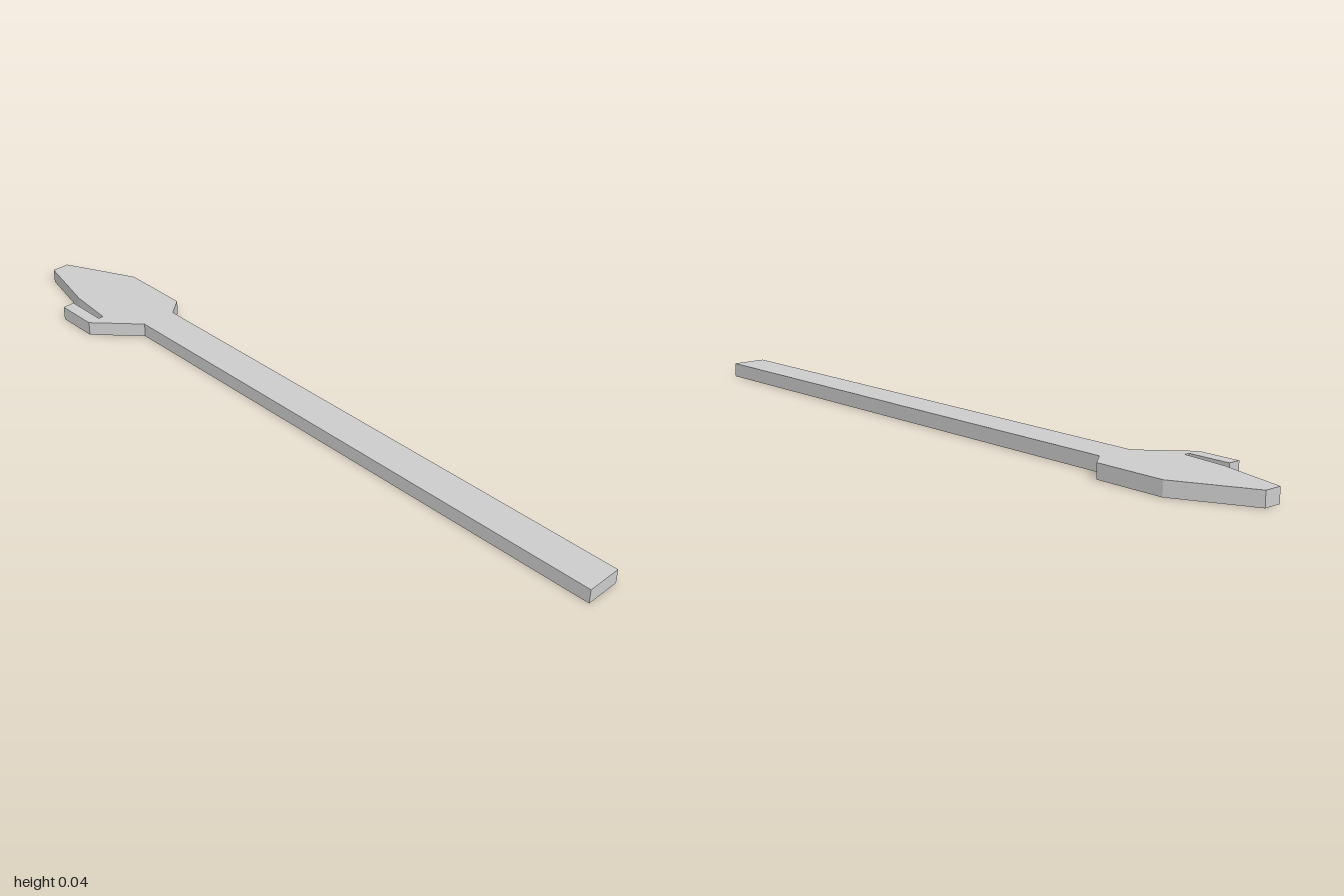
import * as THREE from 'three';

export function createModel() {
  const group = new THREE.Group();
  group.name = 'flatKey';

  const lightGrey = new THREE.MeshStandardMaterial({ color: 0xcccccc });
  lightGrey.name = 'lightGrey';

  // Outline as [x, z], counter-clockwise seen from above
  const outline = [
    // shaft end and right edge
    [-0.02, 1], [0.08, 1], [0.08, -0.56],
    // head shoulder and tip
    [0.13, -0.6], [0.13, -0.8], [0.03, -1], [-0.02, -1],
    // slot between head and side prong
    [-0.067, -0.81], [-0.08, -0.68], [-0.095, -0.68],
    // side prong
    [-0.095, -0.8], [-0.13, -0.8], [-0.13, -0.68],
    // back to shaft
    [-0.02, -0.565],
  ];
  const shape = new THREE.Shape(outline.map(([x, z]) => new THREE.Vector2(x, -z)));

  // One flat plate, laid down so its thickness runs up y
  const geometry = new THREE.ExtrudeGeometry(shape, { depth: 0.04, bevelEnabled: false });
  geometry.rotateX(-Math.PI / 2);

  const plate = new THREE.Mesh(geometry, lightGrey);
  plate.name = 'shaftAndHead';
  group.add(plate);
  return group;
}
